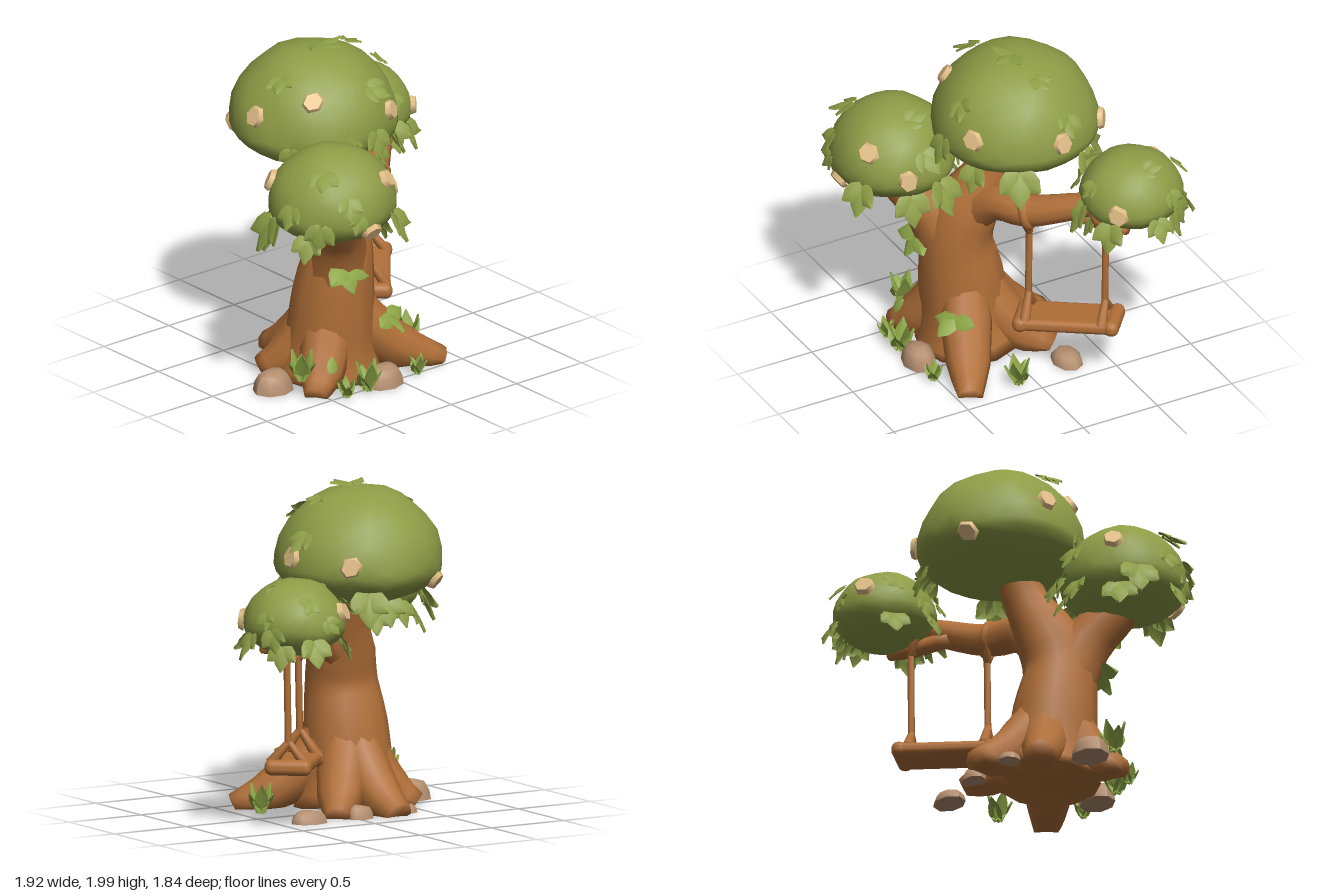
import * as THREE from 'three';
import { mergeGeometries, mergeVertices } from 'three/addons/utils/BufferGeometryUtils.js';
import { RoundedBoxGeometry } from 'three/addons/geometries/RoundedBoxGeometry.js';

const V = (x, y, z) => new THREE.Vector3(x, y, z);
const UP = V(0, 1, 0);

function material(name, color, side = THREE.FrontSide) {
  const m = new THREE.MeshStandardMaterial({ color, side });
  m.name = name;
  return m;
}

function seeded(seed) {
  return () => (seed = (seed * 16807) % 2147483647) / 2147483647;
}

// Tapered limb through points [x, y, z, radius], never dipping under the ground
function limb(points, sides = 10, steps = 3) {
  const curve = new THREE.CatmullRomCurve3(points.map(p => V(p[0], p[1], p[2])));
  const n = (points.length - 1) * steps, pos = [], idx = [];
  for (let i = 0; i <= n; i++) {
    const f = (i / n) * (points.length - 1), k = Math.min(Math.floor(f), points.length - 2);
    const r = THREE.MathUtils.lerp(points[k][3], points[k + 1][3], f - k);
    const c = curve.getPoint(i / n), q = new THREE.Quaternion().setFromUnitVectors(UP, curve.getTangent(i / n));
    for (let j = 0; j < sides; j++) {
      const a = (j / sides) * Math.PI * 2;
      const v = V(Math.cos(a) * r, 0, Math.sin(a) * r).applyQuaternion(q).add(c);
      pos.push(v.x, Math.max(v.y, 0), v.z);
      if (i < n) {
        const p = i * sides + j, s = i * sides + (j + 1) % sides;
        idx.push(p, p + sides, s, s, p + sides, s + sides);
      }
    }
  }
  // End caps
  const e = pos.length / 3, last = n * sides;
  for (const p of [points[0], points[points.length - 1]]) pos.push(p[0], p[1], p[2]);
  for (let j = 0; j < sides; j++) {
    const s = (j + 1) % sides;
    idx.push(e, j, s, e + 1, last + s, last + j);
  }
  const g = new THREE.BufferGeometry();
  g.setAttribute('position', new THREE.Float32BufferAttribute(pos, 3));
  g.setIndex(idx);
  g.computeVertexNormals();
  return g;
}

// Pointed folded leaf growing along dir, its face turned to normal
function leaf(at, dir, normal, length, width, bend = -0.15) {
  const rows = [[0, 0.3], [0.3, 0.5], [0.65, 0.42], [1, 0.04]], pos = [], idx = [];
  rows.forEach(([t, w], i) => {
    const z = bend * t * t * length;
    for (const s of [-1, 0, 1]) pos.push(s * w * width, t * length, z + (s ? 0 : width * 0.15));
    if (i < 3) for (const c of [0, 1]) {
      const a = i * 3 + c;
      idx.push(a, a + 1, a + 3, a + 1, a + 4, a + 3);
    }
  });
  const g = new THREE.BufferGeometry();
  g.setAttribute('position', new THREE.Float32BufferAttribute(pos, 3));
  g.setIndex(idx);
  const y = dir.clone().normalize(), x = y.clone().cross(normal).normalize(), z = x.clone().cross(y);
  g.applyMatrix4(new THREE.Matrix4().makeBasis(x, y, z).setPosition(at));
  g.computeVertexNormals();
  return g;
}

export function createModel() {
  const group = new THREE.Group();
  const bark = material('bark brown', 0xb06f38);
  const foliage = material('leaf green', 0x8e9c46);
  const leafMat = material('loose leaf green', 0x8d9e46, THREE.DoubleSide);
  const plantMat = material('ground plant green', 0x8ca546, THREE.DoubleSide);
  const blossom = material('pale tan', 0xe6c28a);
  const stone = material('stone', 0xb58f70);
  const add = (name, geometry, mat) => {
    const m = new THREE.Mesh(geometry, mat);
    m.name = name;
    group.add(m);
    return m;
  };

  // Trunk and branches
  add('trunk', limb([[-0.2, 0, 0.1, 0.33], [-0.21, 0.22, 0.13, 0.27], [-0.21, 0.5, 0.16, 0.25],
    [-0.2, 0.75, 0.19, 0.215], [-0.17, 0.95, 0.14, 0.2], [-0.11, 1.2, 0.02, 0.135], [-0.1, 1.45, -0.07, 0.12]], 12), bark);
  add('leftBranch', limb([[-0.21, 0.55, 0.17, 0.2], [-0.29, 0.92, 0.32, 0.155], [-0.42, 1.14, 0.48, 0.13], [-0.48, 1.28, 0.54, 0.11]]), bark);
  add('swingBranch', limb([[-0.18, 0.9, 0.12, 0.15], [0.05, 1.07, 0.06, 0.11], [0.25, 1.09, -0.04, 0.1],
    [0.45, 1.17, -0.22, 0.085], [0.65, 1.27, -0.43, 0.055]]), bark);
  add('twig', limb([[0.4, 1.12, -0.22, 0.05], [0.58, 1.09, -0.37, 0.05], [0.74, 1.1, -0.44, 0.03]], 8), bark);

  // Roots, from the tip up into the trunk
  for (const [x, z, r] of [[0.4, 0.43, 0.075], [-0.56, 0.42, 0.07], [-0.52, -0.12, 0.085], [-0.24, -0.39, 0.085], [0.12, -0.27, 0.075]]) {
    const at = (t, y, rad) => [x + (-0.2 - x) * t, y, z + (0.14 - z) * t, rad];
    add('root', limb([at(0, 0.01, r), at(0.35, 0.1, 0.135), at(0.66, 0.26, 0.155), at(0.92, 0.52, 0.13)]), bark);
  }

  // Crowns: flatter below (r.y = height above the centre, low = depth under it)
  const crowns = [
    { name: 'mainCrown', c: V(-0.11, 1.5, -0.15), r: V(0.5, 0.47, 0.5), low: 0.23, sprigs: 26, size: 0.13, seed: 7,
      spots: [[-0.38, 1.77, 0.18], [0.16, 1.62, 0.3], [-0.61, 1.65, -0.1], [-0.43, 1.42, -0.57], [0.25, 1.56, -0.62], [0.38, 1.58, -0.2]] },
    { name: 'leftCrown', c: V(-0.48, 1.25, 0.47), r: V(0.385, 0.36, 0.375), low: 0.21, sprigs: 27, size: 0.13, seed: 31,
      spots: [[-0.25, 1.46, 0.78], [-0.47, 1.17, 0.87], [-0.1, 1.28, 0.57], [-0.8, 1.42, 0.22]] },
    { name: 'rightCrown', c: V(0.59, 1.255, -0.55), r: V(0.3, 0.27, 0.31), low: 0.185, sprigs: 20, size: 0.11, seed: 77,
      spots: [[0.8, 1.27, -0.35], [0.38, 1.35, -0.82]] },
  ];
  for (const { name, c, r, low, sprigs, size, seed, spots } of crowns) {
    const rnd = seeded(seed);
    const radii = y => V(r.x, y > 0 ? r.y : low, r.z);
    const surface = n => {
      const b = 1 + 0.022 * Math.sin(6 * n.x + seed) * Math.cos(5 * n.z + n.y * 4);
      return n.clone().multiply(radii(n.y)).multiplyScalar(b).add(c);
    };
    let g = new THREE.IcosahedronGeometry(1, 4);
    g.deleteAttribute('uv');
    g.deleteAttribute('normal');
    g = mergeVertices(g, 1e-4);
    const p = g.attributes.position, v = V(0, 0, 0);
    for (let i = 0; i < p.count; i++) {
      v.copy(surface(v.fromBufferAttribute(p, i).normalize()));
      p.setXYZ(i, v.x, v.y, v.z);
    }
    g.computeVertexNormals();
    add(name, g, foliage);

    // Pale patches
    const spotDirs = spots.map(s => {
      const n = V(...s).sub(c);
      n.divide(radii(n.y)).normalize();
      const out = n.clone().divide(radii(n.y)).normalize();
      const spot = add('palePatch', new THREE.CylinderGeometry(0.056, 0.068, 0.03, 6), blossom);
      spot.position.copy(surface(n)).addScaledVector(out, 0.012);
      spot.quaternion.setFromUnitVectors(UP, out);
      spot.scale.set(1.05, 1, 0.92);
      return n;
    });

    // Sprigs of three leaves, hanging more steeply towards the bottom
    const parts = [];
    for (let i = 0; i < sprigs; i++) {
      const y = 0.95 - 1.6 * Math.pow((i + 0.5) / sprigs, 0.75);
      const a = i * 2.39996 + rnd() * 0.6, h = Math.sqrt(1 - y * y);
      const n = V(Math.cos(a) * h, y, Math.sin(a) * h);
      const bareBack = name === 'mainCrown' && n.x + n.z < -0.45;
      if (bareBack || spotDirs.some(d => d.distanceTo(V(n.x, n.y + 0.12, n.z)) < 0.42 - 0.1 * (name === 'mainCrown'))) continue;
      const out = n.clone().divide(radii(y)).normalize(), hanging = y < -0.1;
      const dir = V(rnd() - 0.5, -0.8, rnd() - 0.5);
      dir.addScaledVector(out, -dir.dot(out)).normalize();
      if (hanging) dir.set(n.x * 0.35, -1, n.z * 0.35);
      const face = hanging ? V(n.x, 0.2, n.z).normalize() : out;
      const s = size * (0.85 + rnd() * 0.4) * (hanging ? 1.35 : 1);
      for (const turn of [-0.8, 0, 0.8]) {
        const d = dir.clone().applyAxisAngle(face, turn).addScaledVector(face, 0.2 + rnd() * 0.3);
        parts.push(leaf(surface(n).addScaledVector(out, 0.004), d, face, s * (turn ? 0.8 : 1), s * 0.65));
      }
    }
    add(name + 'Leaves', mergeGeometries(parts), leafMat);
  }
  // Leaves lying on top of the main crown
  add('topLeaves', mergeGeometries([[1, 0.1, 0.2], [-0.8, 0.1, 0.5], [0.3, 0.05, 0.9]].map(d =>
    leaf(V(-0.08, 1.965, -0.12), V(...d), UP, 0.14, 0.09, 0))), leafMat);

  // Swing seat with thicker ends
  const seat = new THREE.Group();
  seat.name = 'swingSeat';
  const plank = new THREE.Mesh(new RoundedBoxGeometry(0.6, 0.08, 0.26, 3, 0.035), bark);
  plank.name = 'seatPlank';
  seat.add(plank);
  for (const s of [-1, 1]) {
    const end = new THREE.Mesh(new RoundedBoxGeometry(0.09, 0.095, 0.28, 3, 0.042), bark);
    end.name = 'seatEnd';
    end.position.x = s * 0.275;
    seat.add(end);
  }
  seat.position.set(0.395, 0.36, -0.235);
  seat.rotation.set(0, 0.877, 0.06);
  group.add(seat);

  // Ropes, forked at both ends and tied around the branch
  const rod = (a, b, r0, r1) => add('rope', limb([[...a, r0], [...b, r1]], 8, 1), bark);
  for (const [x, z, topX, topY, topZ, seatY] of [[0.24, -0.05, 0.25, 1.09, -0.04, 0.37], [0.54, -0.4, 0.55, 1.18, -0.35, 0.39]]) {
    const topRope = [topX, topY - 0.15, z];
    rod([x, 0.5, z], topRope, 0.021, 0.021);
    for (const s of [-1, 1]) {
      rod([x + s * 0.08, seatY, z + s * 0.066], [x, 0.52, z], 0.036, 0.02);
      rod(topRope, [topX + s * 0.06, topY - 0.02, topZ + s * 0.05], 0.022, 0.034);
    }
    const loop = add('ropeLoop', new THREE.TorusGeometry(0.09, 0.03, 8, 14), bark);
    loop.position.set(topX, topY, topZ);
    loop.quaternion.setFromUnitVectors(V(0, 0, 1), V(0.67, 0.25, -0.7).normalize());
  }

  // Stones around the base
  for (const [x, z, w, h, d] of [[-0.66, 0.15, 0.13, 0.14, 0.11], [-0.1, 0.5, 0.13, 0.14, 0.1], [0.31, -0.27, 0.12, 0.085, 0.09],
    [-0.03, -0.29, 0.09, 0.09, 0.07], [-0.38, -0.24, 0.07, 0.06, 0.07]]) {
    const g = new THREE.SphereGeometry(1, 8, 4, 0, Math.PI * 2, 0, Math.PI / 2);
    const p = g.attributes.position;
    for (let i = 0; i < p.count; i++) p.setY(i, Math.min(p.getY(i), 0.85 + 0.15 * p.getX(i)));
    g.computeVertexNormals();
    const rock = add('stone', g, stone);
    rock.scale.set(w, h, d);
    rock.position.set(x, 0, z);
    const base = add('stoneBase', new THREE.CircleGeometry(1, 8).rotateX(Math.PI / 2), stone);
    base.scale.set(w, 1, d);
    base.position.set(x, 0.001, z);
  }

  // Upright leaf tufts on the ground
  for (const [x, y, z, size] of [[-0.6, 0.1, 0.34, 0.2], [-0.42, 0.01, 0.54, 0.13], [-0.26, 0.01, 0.54, 0.2],
    [0.13, 0.01, 0.53, 0.13], [0.41, 0.01, 0.11, 0.19]]) {
    const parts = [];
    for (let i = 0; i < 6; i++) {
      const a = i * 1.05 + x * 5, out = V(Math.cos(a), 0, Math.sin(a));
      const dir = out.clone().multiplyScalar(i % 2 ? 0.5 : 0.85).setY(1);
      parts.push(leaf(V(x, y, z), dir, UP, size * (i % 2 ? 1 : 0.8), size * 0.45, 0.1));
    }
    add('groundTuft', mergeGeometries(parts), plantMat);
  }

  // Sprigs growing on the trunk and roots: position, leaf size, facing, directions
  for (const [at, size, face, dirs] of [
    [[-0.31, 0.76, 0.38], 0.17, [0, 1, 0.8], [[-0.8, -0.25, 0.4], [0, -0.7, 0.6], [0.8, -0.35, 0.4]]],
    [[0.07, 0.34, 0.35], 0.14, [0.5, 0.8, 0.6], [[-0.8, -0.1, 0.5], [0.8, 0.1, -0.3], [0.1, -0.4, 0.9]]],
    [[-0.47, 0.15, 0.46], 0.1, [0, 0.5, 0.85], [[0.4, 0.9, -0.3]]]]) {
    add('sprig', mergeGeometries(dirs.map(d => leaf(V(...at), V(...d), V(...face), size, size * 0.75))), plantMat);
  }
  return group;
}
